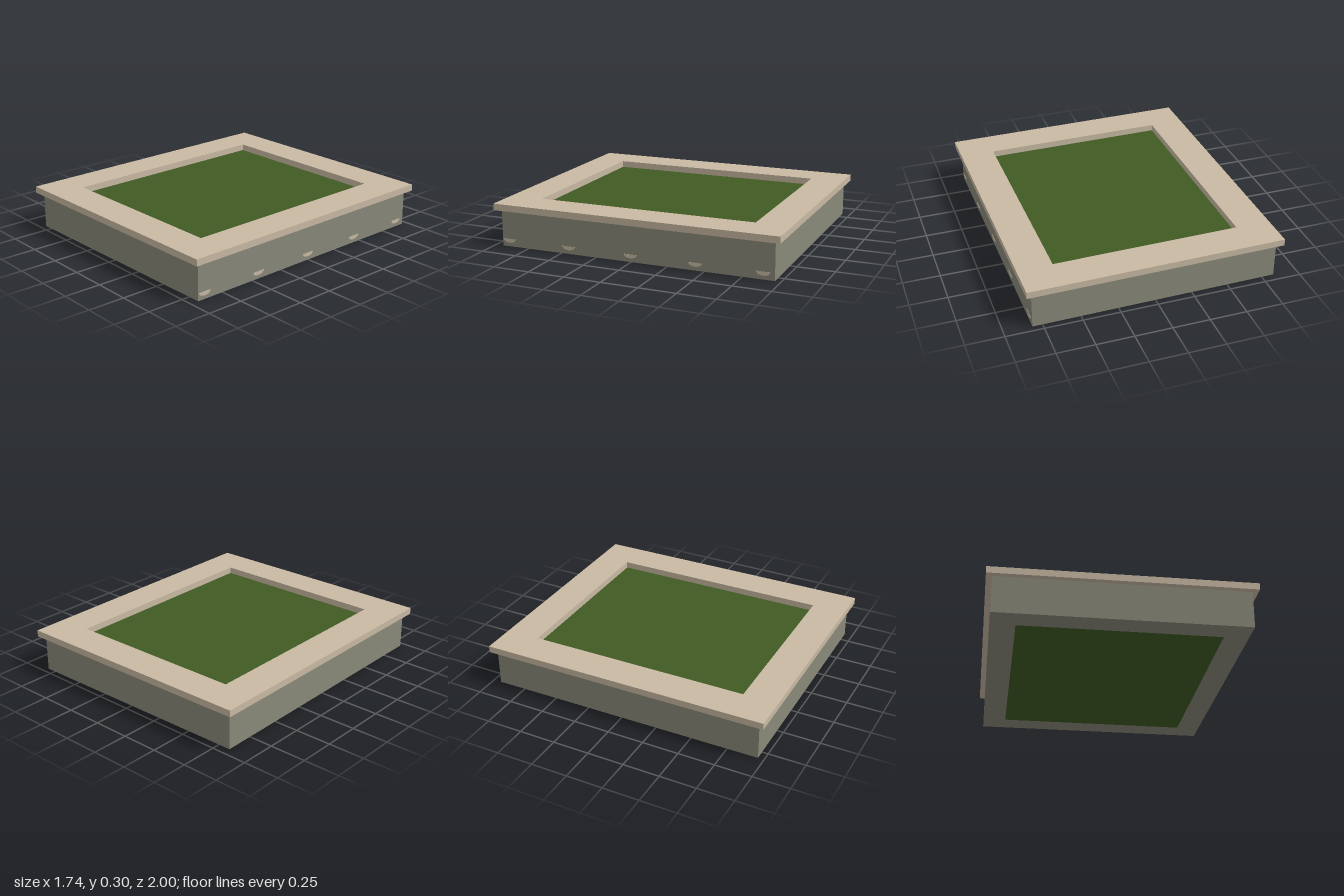
import * as THREE from 'three';

const mat = (name, color) => Object.assign(new THREE.MeshStandardMaterial({ color }), { name });

// Flat rectangular ring lying in the xz plane, its base at y
function ring(name, w, d, holeW, holeD, y, h, material) {
  const rect = (S, a, b) => new S([[-a, -b], [a, -b], [a, b], [-a, b]]
    .map(([px, py]) => new THREE.Vector2(px / 2, py / 2)));
  const shape = rect(THREE.Shape, w, d);
  shape.holes.push(rect(THREE.Path, holeW, holeD));
  const geo = new THREE.ExtrudeGeometry(shape, { depth: h, bevelEnabled: false });
  geo.rotateX(-Math.PI / 2);
  const mesh = new THREE.Mesh(geo, material);
  mesh.name = name;
  mesh.position.y = y;
  return mesh;
}

export function createModel() {
  const stone = mat('sandStone', 0xc8b9a3);
  const wall = mat('greyWall', 0x888879);
  const grass = mat('grassGreen', 0x405a23);
  const model = new THREE.Group();
  model.name = 'raisedPlanter';

  // Wall and overhanging coping slab
  model.add(ring('planterWall', 1.65, 1.904, 1.325, 1.585, 0, 0.25, wall));
  model.add(ring('coping', 1.725, 1.984, 1.255, 1.515, 0.25, 0.045, stone));

  // Grass filling the bed, reaching just under the coping
  const lawn = new THREE.Mesh(new THREE.BoxGeometry(1.325, 0.248, 1.585), grass);
  lawn.name = 'grassBed';
  lawn.position.y = 0.124;
  model.add(lawn);

  // Small half-round stone patches low on the left side
  const patch = new THREE.Shape();
  patch.absellipse(0, 0, 0.046, 0.026, Math.PI, Math.PI * 2, false);
  const patchGeo = new THREE.ExtrudeGeometry(patch, { depth: 0.002, bevelEnabled: false, curveSegments: 8 });
  patchGeo.rotateY(Math.PI / 2);
  for (let i = 0; i < 5; i++) {
    const mesh = new THREE.Mesh(patchGeo, stone);
    mesh.name = 'stonePatch';
    mesh.position.set(0.8245, 0.051, 0.9 - i * 0.444);
    model.add(mesh);
  }

  // The whole planter sits turned by half a degree
  model.rotation.y = 0.0095;
  const root = new THREE.Group();
  root.name = 'planter';
  root.add(model);
  return root;
}
